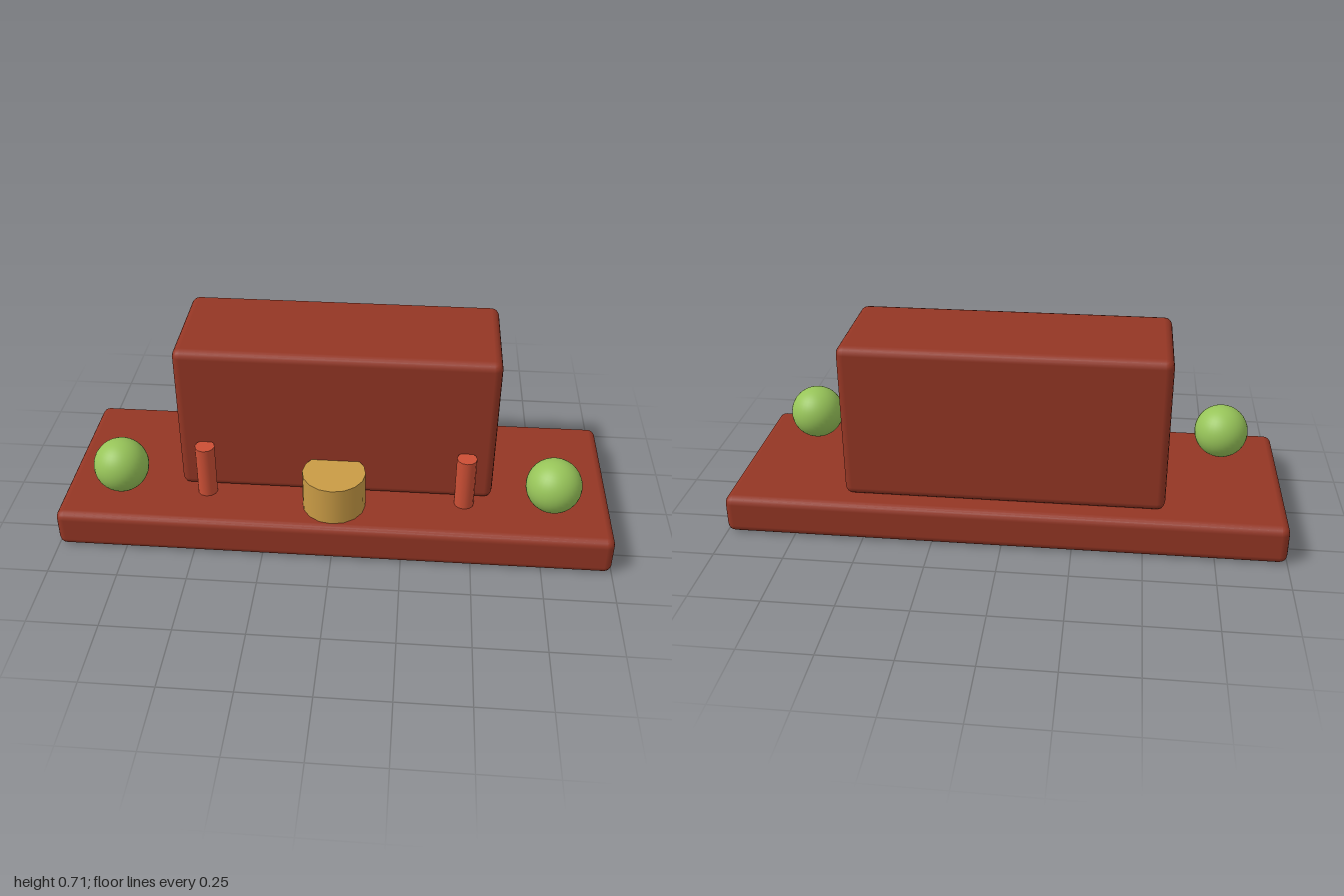
import * as THREE from 'three';
import { RoundedBoxGeometry } from 'three/addons/geometries/RoundedBoxGeometry.js';

function material(name, color) {
  const m = new THREE.MeshStandardMaterial({ color });
  m.name = name;
  return m;
}

export function createModel() {
  const model = new THREE.Group();
  const brick = material('brick red', 0x943624);
  const gold = material('gold', 0xc99b45);
  const red = material('bright red', 0xcc4f35);
  const green = material('leaf green', 0x97c459);

  const add = (name, geometry, mat, x, y, z) => {
    const mesh = new THREE.Mesh(geometry, mat);
    mesh.name = name;
    mesh.position.set(x, y, z);
    model.add(mesh);
  };

  const top = 0.143; // upper face of the base

  // Soft-edged slab and the block standing on it
  add('base', new RoundedBoxGeometry(2, top, 0.714, 2, 0.029), brick, 0, top / 2, 0);
  add('block', new RoundedBoxGeometry(1.143, 0.571, 0.429, 2, 0.029), brick, 0, top + 0.2855, -0.071);

  // Drum sunk into the front of the block
  add('drum', new THREE.CylinderGeometry(0.114, 0.114, 0.143, 16), gold, 0, top + 0.0715, 0.214);

  // Posts and balls on both sides
  const post = new THREE.CylinderGeometry(0.036, 0.036, 0.2, 12);
  const ball = new THREE.SphereGeometry(0.1, 32, 24);
  for (const [side, s] of [['left', 1], ['right', -1]]) {
    add(side + 'Post', post, red, s * 0.471, top + 0.1, 0.171);
    add(side + 'Ball', ball, green, s * 0.786, top + 0.1, 0.171);
  }
  return model;
}
